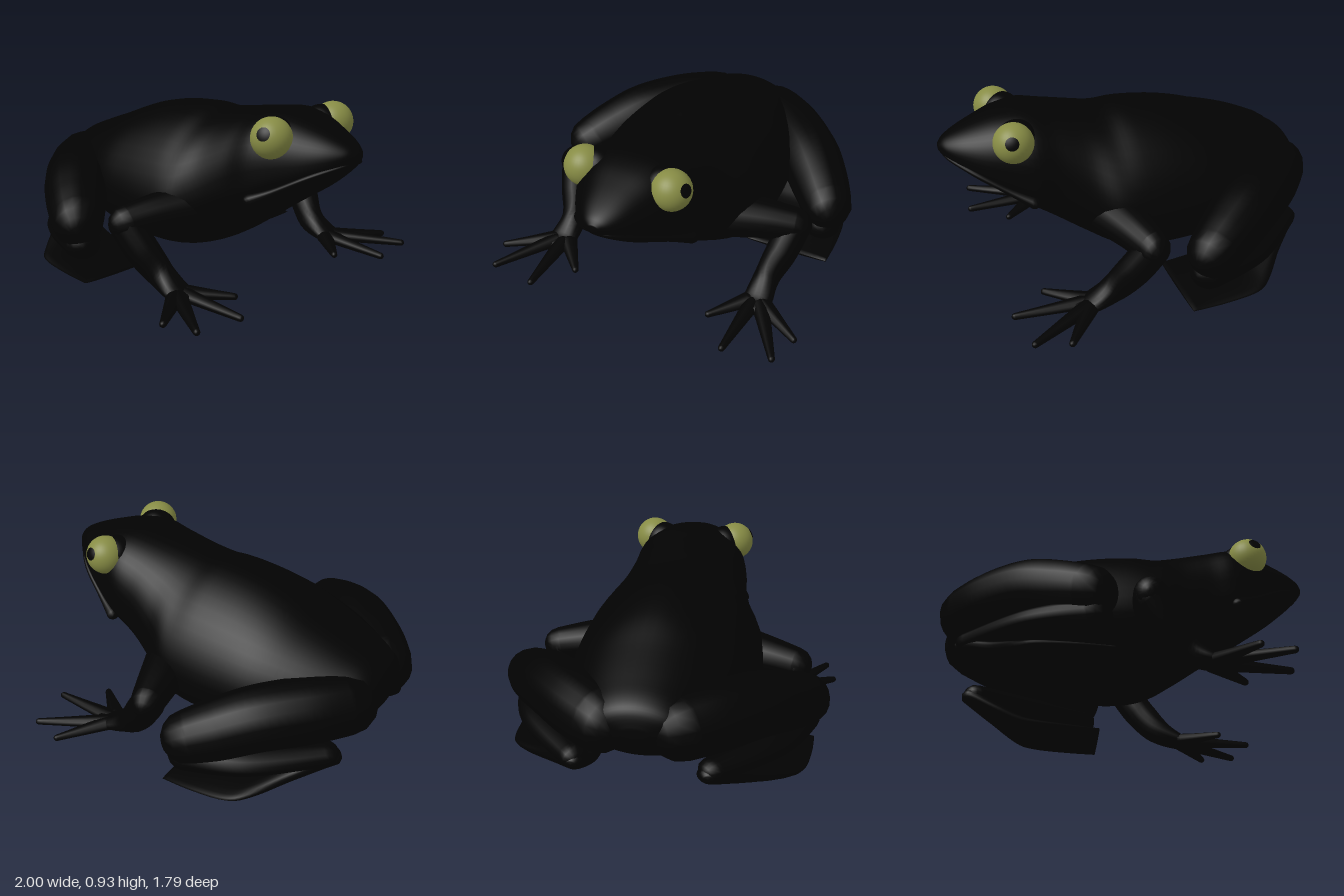
import * as THREE from 'three';

const skinMat = new THREE.MeshStandardMaterial({ color: 0x020202 });
skinMat.name = 'black skin';
const eyeMat = new THREE.MeshStandardMaterial({ color: 0x878c45 });
eyeMat.name = 'olive eye';

const V = (x, y, z) => new THREE.Vector3(x, y, z);

// Smooth interpolation of rows of numbers, t in 0..1
function sample(rows, t) {
  const f = t * (rows.length - 1);
  const i = Math.min(Math.floor(f), rows.length - 2), u = f - i;
  const at = (k) => rows[Math.max(0, Math.min(rows.length - 1, k))];
  return rows[0].map((_, c) => {
    const a = at(i - 1)[c], b = at(i)[c], d = at(i + 1)[c], e = at(i + 2)[c];
    return b + 0.5 * u * (d - a + u * (2 * a - 5 * b + 4 * d - e + u * (3 * (b - d) + e - a)));
  });
}

// Closed smooth skin over rings of points, faces always turned outward
function skin(name, rings) {
  const n = rings[0].length, pos = [], idx = [];
  rings.forEach((r) => r.forEach((p) => pos.push(p.x, p.y, p.z)));
  for (let i = 0; i < rings.length - 1; i++) {
    for (let j = 0; j < n; j++) {
      const a = i * n + j, b = i * n + (j + 1) % n;
      idx.push(a, b, a + n, b, b + n, a + n);
    }
  }
  [0, rings.length - 1].forEach((i) => {
    const c = V(0, 0, 0);
    rings[i].forEach((p) => c.addScaledVector(p, 1 / n));
    const k = pos.length / 3;
    pos.push(c.x, c.y, c.z);
    for (let j = 0; j < n; j++) {
      const a = i * n + j, b = i * n + (j + 1) % n;
      if (i === 0) idx.push(k, b, a); else idx.push(k, a, b);
    }
  });
  const pt = (i) => V(pos[3 * i], pos[3 * i + 1], pos[3 * i + 2]);
  let volume = 0;
  for (let i = 0; i < idx.length; i += 3) {
    volume += pt(idx[i]).dot(pt(idx[i + 1]).cross(pt(idx[i + 2])));
  }
  if (volume < 0) idx.reverse();
  const g = new THREE.BufferGeometry();
  g.setAttribute('position', new THREE.Float32BufferAttribute(pos, 3));
  g.setIndex(idx);
  g.computeVertexNormals();
  const m = new THREE.Mesh(g, skinMat);
  m.name = name;
  return m;
}

// Rounded limb through rows of [x, y, z, side radius, vertical radius]
function limb(name, rows, s, steps = 24, sides = 18) {
  const pts = rows.map(([x, y, z, a, b]) => [x, y, z * s, a, b]);
  const rings = [];
  const ring = (t, push, scale) => {
    const [x, y, z, a, b] = sample(pts, t);
    const p = sample(pts, Math.max(0, t - 0.01)), q = sample(pts, Math.min(1, t + 0.01));
    const dir = V(q[0] - p[0], q[1] - p[1], q[2] - p[2]).normalize();
    const side = dir.clone().cross(V(0, 1, 0)).normalize();
    const up = side.clone().cross(dir);
    const c = V(x, y, z).addScaledVector(dir, push * Math.min(a, b));
    rings.push(Array.from({ length: sides }, (_, j) => {
      const w = j / sides * Math.PI * 2;
      const v = c.clone().addScaledVector(side, Math.cos(w) * a * scale)
        .addScaledVector(up, Math.sin(w) * b * scale);
      v.y = Math.max(0, v.y);
      return v;
    }));
  };
  const cap = [0.1, 0.35, 0.7, 1.1].map((w) => [Math.cos(w), Math.sin(w)]);
  cap.forEach(([push, scale]) => ring(0, -push, scale));
  for (let i = 0; i <= steps; i++) ring(i / steps, 0, 1);
  cap.reverse().forEach(([push, scale]) => ring(1, push, scale));
  return skin(name, rings);
}

// Torso and head in one loft: [x, top, widest height, bottom, half width, squareness of upper half]
function body() {
  const rows = [
    [-0.985, 0.47, 0.45, 0.42, 0.06, 2], [-0.96, 0.55, 0.45, 0.34, 0.19, 2],
    [-0.9, 0.6, 0.43, 0.28, 0.27, 2], [-0.78, 0.65, 0.41, 0.21, 0.34, 2],
    [-0.6, 0.72, 0.4, 0.13, 0.42, 1.95], [-0.4, 0.8, 0.39, 0.09, 0.48, 1.85],
    [-0.2, 0.85, 0.38, 0.072, 0.5, 1.8], [0, 0.87, 0.38, 0.08, 0.5, 1.8],
    [0.14, 0.865, 0.4, 0.12, 0.48, 1.8], [0.27, 0.885, 0.45, 0.19, 0.405, 2],
    [0.42, 0.908, 0.53, 0.29, 0.35, 2.3], [0.56, 0.926, 0.58, 0.39, 0.328, 2.6],
    [0.68, 0.91, 0.63, 0.47, 0.28, 2.5], [0.8, 0.872, 0.67, 0.55, 0.215, 2.3],
    [0.9, 0.832, 0.71, 0.63, 0.145, 2.2], [0.965, 0.797, 0.74, 0.69, 0.08, 2],
    [0.995, 0.765, 0.75, 0.73, 0.025, 2],
  ];
  const rings = [];
  for (let i = 0; i <= 80; i++) {
    const [x, top, mid, bot, hw, square] = sample(rows, i / 80);
    rings.push(Array.from({ length: 48 }, (_, j) => {
      const w = j / 48 * Math.PI * 2, c = Math.cos(w), d = Math.sin(w);
      const e = 2 / (d > 0 ? square : 2);
      const h = Math.sign(d) * Math.abs(d) ** e * (d > 0 ? top - mid : mid - bot);
      return V(x, mid + h, Math.sign(c) * Math.abs(c) ** e * hw);
    }));
  }
  return skin('body', rings);
}

function eye(s) {
  const g = new THREE.Group();
  g.name = 'eye';
  const ball = new THREE.Mesh(new THREE.SphereGeometry(0.105, 32, 24), eyeMat);
  ball.name = 'eyeball';
  // Pupil is a thin cap just above the eyeball
  const pupil = new THREE.Mesh(new THREE.SphereGeometry(0.108, 24, 6, 0, Math.PI * 2, 0, 0.33), skinMat);
  pupil.name = 'pupil';
  pupil.quaternion.setFromUnitVectors(V(0, 1, 0), V(0.25, 0.38, 0.88 * s).normalize());
  // Eyelid covers the inner, rear side of the eyeball
  const lid = new THREE.Mesh(new THREE.SphereGeometry(0.105, 32, 24), skinMat);
  lid.name = 'eyelid';
  lid.position.set(-0.032, -0.012, -0.056 * s);
  g.add(ball, pupil, lid);
  g.position.set(0.65, 0.826, 0.24 * s);
  return g;
}

// Wide webbed foot, lofted along x: [x, height, half thickness, inner z, outer z]
function hindFoot(s) {
  const rows = [
    [-0.9, 0.175, 0.02, 0.32, 0.37], [-0.85, 0.17, 0.05, 0.28, 0.42],
    [-0.72, 0.105, 0.055, 0.27, 0.55], [-0.59, 0.05, 0.05, 0.28, 0.71],
    [-0.49, 0.032, 0.032, 0.29, 0.785], [-0.3, 0.02, 0.02, 0.31, 0.81],
    [-0.12, 0.01, 0.01, 0.33, 0.81],
  ];
  const rings = [];
  for (let i = 0; i <= 30; i++) {
    const [x, y, h, z0, z1] = sample(rows, i / 30);
    rings.push(Array.from({ length: 24 }, (_, j) => {
      const w = j / 24 * Math.PI * 2;
      return V(x, Math.max(0, y + h * Math.sin(w)), s * ((z0 + z1) / 2 + (z1 - z0) / 2 * Math.cos(w)));
    }));
  }
  return skin('hindFoot', rings);
}

function hindLeg(s) {
  const g = new THREE.Group();
  g.name = s > 0 ? 'rightHindLeg' : 'leftHindLeg';
  g.add(limb('thigh', [[-0.84, 0.42, 0.2, 0.165, 0.165], [-0.7, 0.42, 0.36, 0.175, 0.175],
    [-0.52, 0.405, 0.53, 0.175, 0.17], [-0.36, 0.35, 0.66, 0.16, 0.16],
    [-0.245, 0.31, 0.745, 0.14, 0.14]], s));
  g.add(limb('shank', [[-0.22, 0.19, 0.74, 0.1, 0.09], [-0.5, 0.19, 0.6, 0.125, 0.075],
    [-0.83, 0.19, 0.35, 0.075, 0.06]], s));
  g.add(hindFoot(s));
  return g;
}

function foreLeg(s) {
  const g = new THREE.Group();
  g.name = s > 0 ? 'rightForeLeg' : 'leftForeLeg';
  g.add(limb('upperArm', [[0.16, 0.38, 0.3, 0.15, 0.13], [0.1, 0.37, 0.52, 0.115, 0.105],
    [0.06, 0.35, 0.675, 0.09, 0.095]], s));
  g.add(limb('forearm', [[0.06, 0.34, 0.67, 0.09, 0.09], [0.14, 0.22, 0.64, 0.085, 0.09],
    [0.24, 0.1, 0.6, 0.07, 0.075], [0.36, 0.04, 0.6, 0.08, 0.042],
    [0.44, 0.028, 0.6, 0.075, 0.028]], s));
  // Four spread fingers: end x, end z, base z
  [[0.565, 0.405, 0.56], [0.76, 0.57, 0.585], [0.72, 0.825, 0.62], [0.545, 0.875, 0.635]]
    .forEach(([x, z, z0]) => {
      const mx = 0.38 + (x - 0.38) * 0.5, mz = z0 + (z - z0) * 0.5;
      g.add(limb('finger', [[0.38, 0.035, z0, 0.05, 0.035], [mx, 0.026, mz, 0.034, 0.026],
        [x, 0.018, z, 0.018, 0.018]], s, 10, 12));
    });
  return g;
}

export function createModel() {
  const frog = new THREE.Group();
  frog.name = 'frog';
  frog.add(body());
  for (const s of [1, -1]) {
    frog.add(eye(s), hindLeg(s), foreLeg(s));
    // Lip ridge swelling at the mouth corner
    frog.add(limb('lip', [[0.57, 0.505, 0.31, 0.035, 0.032], [0.68, 0.56, 0.265, 0.018, 0.018],
      [0.84, 0.65, 0.183, 0.014, 0.014], [0.95, 0.705, 0.075, 0.012, 0.012],
      [0.975, 0.72, 0, 0.01, 0.01]], s, 20, 12));
  }
  return frog;
}
